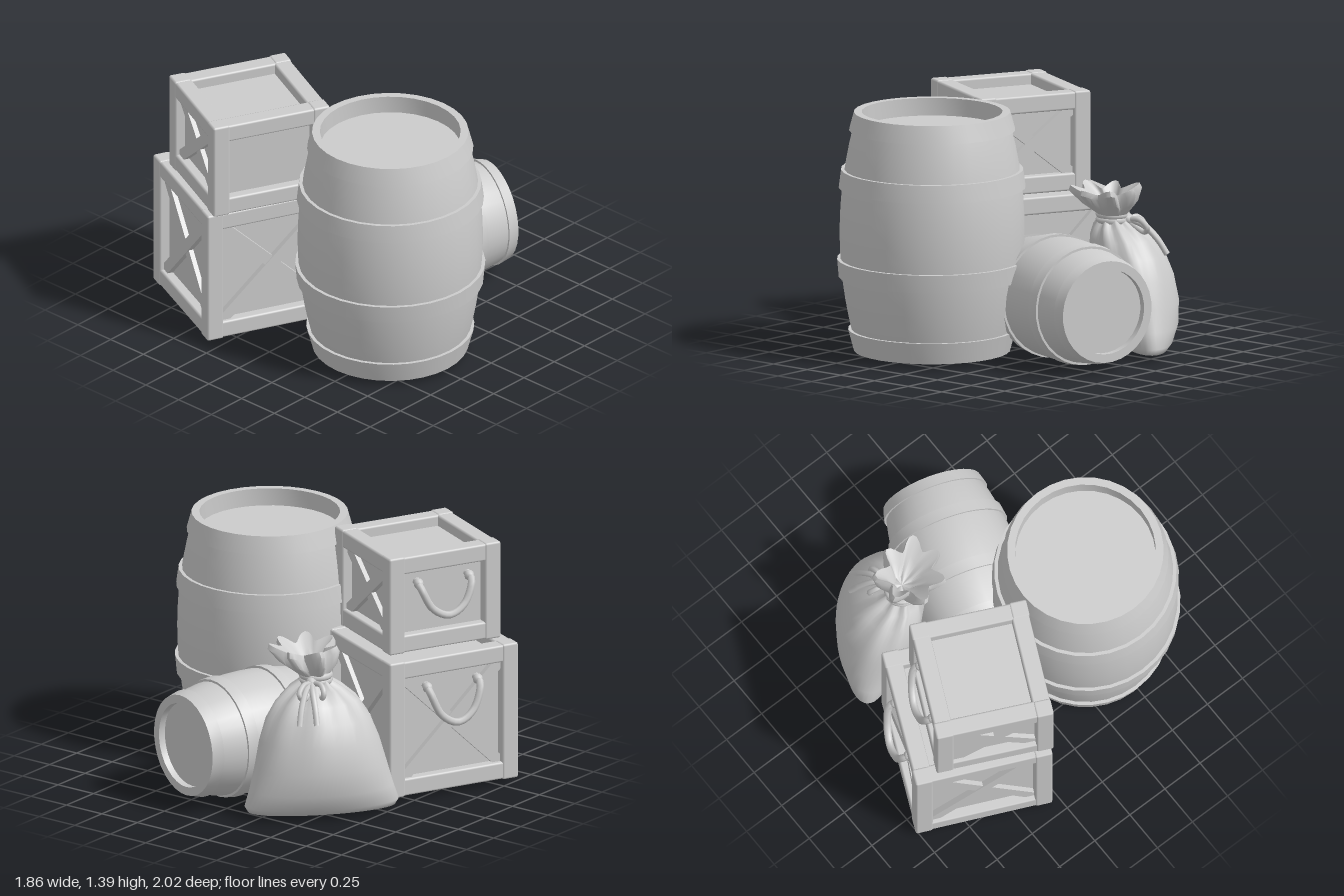
import * as THREE from 'three';
import { toCreasedNormals } from 'three/addons/utils/BufferGeometryUtils.js';
import { RoundedBoxGeometry } from 'three/addons/geometries/RoundedBoxGeometry.js';

const clay = new THREE.MeshStandardMaterial({ color: 0xcccccc });
clay.name = 'lightGrey';

function add(parent, name, geometry, x = 0, y = 0, z = 0) {
  const mesh = new THREE.Mesh(geometry, clay);
  mesh.name = name;
  mesh.position.set(x, y, z);
  parent.add(mesh);
  return mesh;
}

function group(parent, name, x, y, z, turn = 0) {
  const g = new THREE.Group();
  g.name = name;
  g.position.set(x, y, z);
  g.rotation.y = turn;
  parent.add(g);
  return g;
}

const lathe = (pts) =>
  toCreasedNormals(new THREE.LatheGeometry(pts.map(([r, y]) => new THREE.Vector2(r, y)), 32), 0.6);

const rope = (pts, radius) =>
  new THREE.TubeGeometry(new THREE.CatmullRomCurve3(pts.map((p) => new THREE.Vector3(...p))), 24, radius, 7);

// Bulging barrel along y with recessed ends and four hoops
function makeBarrel(parent, name, h, rEnd, rMid, wall, recessTop, recessBottom) {
  const g = group(parent, name, 0, 0, 0);
  const radius = (t) => rEnd + (rMid - rEnd) * (1 - (2 * t - 1) ** 2);
  const rIn = rEnd - wall;
  const profile = [[0, recessBottom], [rIn, recessBottom], [rIn, 0], [rEnd, 0]];
  for (let i = 1; i < 14; i++) profile.push([radius(i / 14), (h * i) / 14]);
  profile.push([rEnd, h], [rIn, h], [rIn, h - recessTop], [0, h - recessTop]);
  add(g, 'staves', lathe(profile));
  const lip = h * 0.014;
  for (const [t0, t1] of [[0, 0.09], [0.31, 0.385], [0.685, 0.76], [0.925, 1]]) {
    const r0 = radius(t0), r1 = radius(t1);
    add(g, 'hoop', lathe([
      [r0 - 0.01, t0 * h], [r0 + lip, t0 * h],
      [r1 + lip, t1 * h], [r1 - 0.01, t1 * h],
    ]));
  }
  return g;
}

// Framed crate centred on its own origin
function makeCrate(parent, name, w, h, d, t) {
  const g = group(parent, name, 0, 0, 0);
  const bar = (part, sx, sy, sz, x, y, z) =>
    add(g, part, new RoundedBoxGeometry(sx, sy, sz, 1, 0.012), x, y, z);
  const inset = 0.004;
  const x = (w - t) / 2, y = (h - t) / 2, z = (d - t) / 2;
  add(g, 'panels', new THREE.BoxGeometry(w - 0.12, h - 0.13, d - 0.12));
  for (const a of [-1, 1]) for (const b of [-1, 1]) {
    bar('post', t, h, t, a * x, 0, b * z);
    bar('sideRail', w - t, t, t, 0, a * (y - inset), b * (z - inset));
    bar('endRail', t, t, d - t, a * (x - inset), b * (y - inset), 0);
  }
  return g;
}

// Crossed braces on one face of a crate, turned about its middle
function addCross(crate, turn, faceWidth, h, depth, t) {
  const face = group(crate, 'crossBrace', 0, 0, 0, turn);
  const bw = faceWidth - 1.6 * t, bh = h - 1.6 * t;
  for (const s of [-1, 1]) {
    const brace = add(face, 'brace', new THREE.BoxGeometry(Math.hypot(bw, bh), 0.065, 0.05), 0, 0, depth / 2 - 0.055 + s * 0.003);
    brace.rotation.z = s * Math.atan2(bh, bw);
  }
}

// Rope handle hanging on the back face of a crate
function addHandle(crate, back, top, drop) {
  add(crate, 'ropeHandle', rope([
    [-0.16, top, back + 0.05], [-0.16, top - 0.03, back - 0.01], [-0.1, top - drop * 0.75, back - 0.04],
    [0, top - drop, back - 0.05], [0.1, top - drop * 0.75, back - 0.04],
    [0.16, top - 0.03, back - 0.01], [0.16, top, back + 0.05],
  ], 0.022));
  for (const s of [-1, 1])
    add(crate, 'handleKnot', new THREE.SphereGeometry(0.03, 8, 6), s * 0.16, top - 0.01, back + 0.02);
}

// Skin over rings [y, halfWidth, halfDepth, x, z, pleat], with waves round the rim
function loft(rings, waves, n = 48) {
  const pos = [], index = [];
  rings.forEach(([y, a, b, x, z, pleat]) => {
    for (let i = 0; i < n; i++) {
      const f = (i / n) * Math.PI * 2;
      const wave = Math.cos(waves * f) + 0.3 * Math.sin(3 * f + 1);
      const k = 1 + pleat * wave;
      pos.push(x + a * k * Math.cos(f), y + 0.08 * pleat * wave, z + b * k * Math.sin(f));
    }
  });
  for (let j = 0; j < rings.length - 1; j++) for (let i = 0; i < n; i++) {
    const a = j * n + i, c = j * n + ((i + 1) % n);
    index.push(a, a + n, c, c, a + n, c + n);
  }
  const geo = new THREE.BufferGeometry();
  geo.setAttribute('position', new THREE.Float32BufferAttribute(pos, 3));
  geo.setIndex(index);
  geo.computeVertexNormals();
  return geo;
}

function makeSack(parent) {
  const g = group(parent, 'sack', 0.5, 0, -0.48, -0.72);
  add(g, 'sackBody', loft([
    [0.04, 0, 0, 0, 0.01, 0], [0.035, 0.3, 0.1, 0, 0.01, 0], [0.045, 0.42, 0.13, 0, 0.01, 0],
    [0.08, 0.44, 0.16, 0, 0.01, 0], [0.17, 0.41, 0.205, 0, 0.02, 0], [0.3, 0.375, 0.23, 0, 0.04, 0],
    [0.44, 0.34, 0.23, 0, 0.07, 0.01], [0.56, 0.295, 0.21, 0, 0.1, 0.02],
    [0.65, 0.23, 0.175, 0, 0.13, 0.04], [0.71, 0.15, 0.125, 0, 0.16, 0.07],
    [0.75, 0.08, 0.08, 0, 0.175, 0.1], [0.79, 0.06, 0.06, 0, 0.18, 0.1],
  ], 9));
  // Gathered mouth, folded back inside
  add(g, 'sackRuffle', toCreasedNormals(loft([
    [0.75, 0.06, 0.06, 0, 0.175, 0.08], [0.785, 0.085, 0.085, 0.01, 0.18, 0.12],
    [0.84, 0.14, 0.14, 0.03, 0.2, 0.18], [0.905, 0.17, 0.17, 0.05, 0.225, 0.22],
    [0.935, 0.16, 0.16, 0.055, 0.23, 0.22], [0.88, 0.1, 0.1, 0.04, 0.21, 0.18],
    [0.82, 0.05, 0.05, 0.02, 0.19, 0.1], [0.81, 0, 0, 0.01, 0.18, 0],
  ], 7, 56), 0.9));
  // Tie rope with a bow and two tails
  for (const y of [0.75, 0.78])
    add(g, 'tieRope', new THREE.TorusGeometry(0.078, 0.02, 7, 20), 0, y, 0.178).rotation.x = Math.PI / 2;
  add(g, 'tieKnot', new THREE.SphereGeometry(0.035, 8, 6), 0.04, 0.755, 0.1);
  for (const s of [-1, 1]) {
    add(g, 'tieTail', rope([
      [0.04, 0.755, 0.1], [0.07 + s * 0.02, 0.73, 0.02], [0.09 + s * 0.04, 0.65, -0.06], [0.1 + s * 0.05, 0.57, -0.11],
    ], 0.018));
    add(g, 'tieLoop', rope([
      [0.04, 0.755, 0.1], [0.05 + s * 0.05, 0.76, 0.04], [0.06 + s * 0.07, 0.72, 0.0],
      [0.05 + s * 0.05, 0.69, 0.01], [0.04, 0.745, 0.1],
    ], 0.016));
  }
}

export function createModel() {
  const model = new THREE.Group();
  model.name = 'barrelsCratesAndSack';

  makeBarrel(model, 'standingBarrel', 1.36, 0.42, 0.52, 0.025, 0.1, 0.05).position.set(-0.255, 0.042, 0.465);

  // Barrel lying on its side
  const axis = new THREE.Vector3(0.95, 0, 0.31).normalize();
  const lying = makeBarrel(model, 'lyingBarrel', 0.9, 0.277, 0.343, 0.036, 0.04, 0.04);
  lying.quaternion.setFromUnitVectors(new THREE.Vector3(0, 1, 0), axis);
  lying.position.set(-0.01, 0.362, -0.045);

  const quarter = Math.PI / 2;
  const lower = makeCrate(model, 'lowerCrate', 0.82, 0.8, 0.79, 0.1);
  lower.position.set(-0.398, 0.437, -0.492);
  lower.rotation.y = -0.425;
  for (const turn of [-quarter, quarter]) addCross(lower, turn, 0.79, 0.8, 0.82, 0.1);
  for (const turn of [0, Math.PI]) addCross(lower, turn, 0.82, 0.8, 0.79, 0.1);
  addHandle(lower, -0.395, 0.23, 0.22);

  const upper = makeCrate(model, 'upperCrate', 0.705, 0.57, 0.675, 0.1);
  upper.position.set(-0.45, 1.118, -0.43);
  upper.rotation.y = -0.44;
  for (const turn of [-quarter, quarter]) addCross(upper, turn, 0.675, 0.57, 0.705, 0.1);
  addHandle(upper, -0.3375, 0.12, 0.2);

  makeSack(model);
  return model;
}
